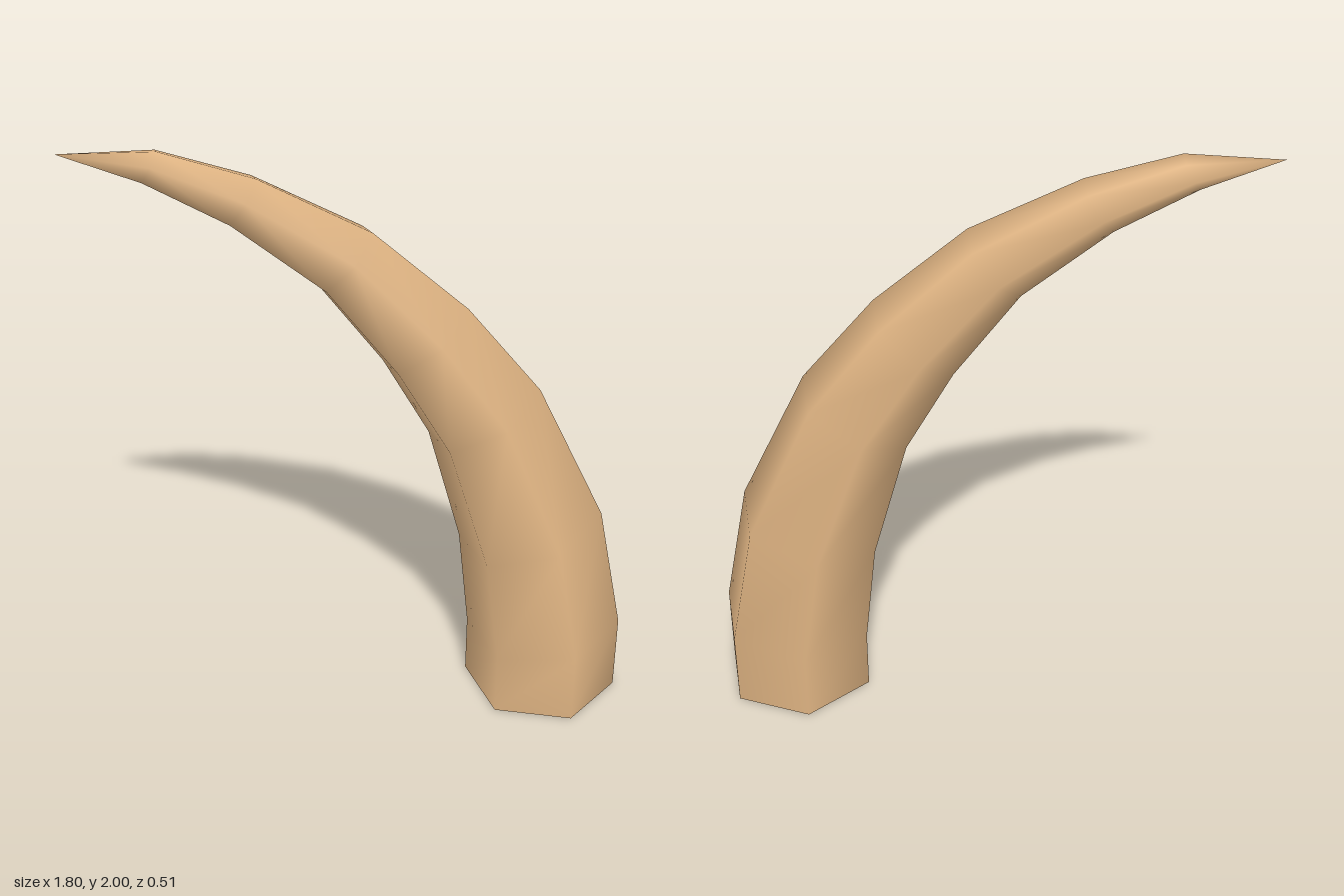
import * as THREE from 'three';

const SIDES = 6;
const TWIST = Math.PI / 12;

// Each ring: outer edge x, y then inner edge x, y, from base to point
const RINGS = [
  [0.90, 0.00, 0.39, 0.00],
  [0.90, 0.27, 0.39, 0.21],
  [0.81, 0.71, 0.35, 0.57],
  [0.58, 1.18, 0.235, 0.985],
  [0.34, 1.47, 0.08, 1.26],
  [0.04, 1.73, -0.13, 1.54],
  [-0.31, 1.91, -0.405, 1.76],
  [-0.60, 2.00, -0.655, 1.90],
];
const TIP = [-0.90, 1.995, 0];

// Six corners around a ring, turned slightly from the bending plane
function ringPoints([ox, oy, ix, iy]) {
  const cx = (ox + ix) / 2, cy = (oy + iy) / 2;
  const k = 1 / Math.cos(TWIST);
  const nx = (ox - ix) / 2 * k, ny = (oy - iy) / 2 * k;
  const r = Math.hypot(nx, ny);
  return Array.from({ length: SIDES }, (_, j) => {
    const a = TWIST + j * Math.PI * 2 / SIDES;
    return [cx + nx * Math.cos(a), cy + ny * Math.cos(a), r * Math.sin(a)];
  });
}

function build(points, index) {
  const g = new THREE.BufferGeometry();
  g.setAttribute('position', new THREE.Float32BufferAttribute(points.flat(), 3));
  g.setIndex(index);
  g.computeVertexNormals();
  return g;
}

export function createModel() {
  const group = new THREE.Group();
  group.name = 'horn';
  const tan = new THREE.MeshStandardMaterial({ color: 0xdeb382 });
  tan.name = 'tan horn';

  // Curved tapering body, smooth shaded, closing in a point
  const points = [...RINGS.flatMap(ringPoints), TIP];
  const index = [];
  const last = RINGS.length - 1;
  for (let i = 0; i <= last; i++) {
    for (let j = 0; j < SIDES; j++) {
      const n = (j + 1) % SIDES;
      const a = i * SIDES + j, b = i * SIDES + n;
      if (i === last) index.push(a, points.length - 1, b);
      else index.push(a, a + SIDES, b, b, a + SIDES, b + SIDES);
    }
  }
  const body = new THREE.Mesh(build(points, index), tan);
  body.name = 'hornBody';

  // Flat underside
  const capIndex = [];
  for (let j = 1; j < SIDES - 1; j++) capIndex.push(0, j, j + 1);
  const cap = new THREE.Mesh(build(ringPoints(RINGS[0]), capIndex), tan);
  cap.name = 'baseCap';

  group.add(body, cap);
  return group;
}
